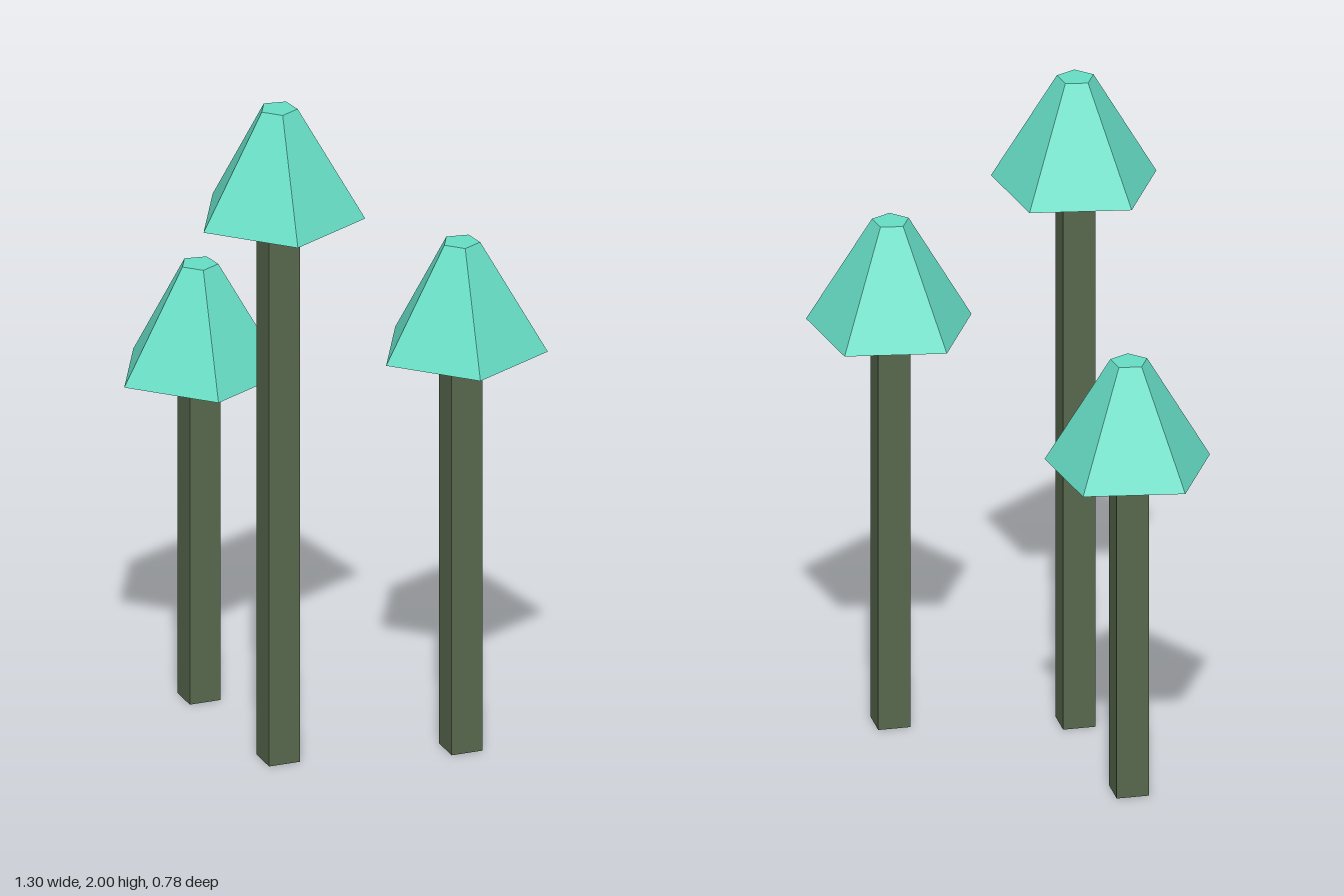
import * as THREE from 'three';

export function createModel() {
  const group = new THREE.Group();
  const capMaterial = new THREE.MeshStandardMaterial({ name: 'mint', color: 0x66dec6 });
  const stemMaterial = new THREE.MeshStandardMaterial({ name: 'mossGreen', color: 0x58684e });
  capMaterial.flatShading = true;
  stemMaterial.flatShading = true;

  const capHeight = 0.33;
  // Five-sided cap, one corner pointing to the back
  const capGeometry = new THREE.CylinderGeometry(0.055, 0.248, capHeight, 5);
  capGeometry.rotateY(Math.PI);

  // [name, x, z, total height]
  const mushrooms = [
    ['shortMushroom', -0.418, -0.145, 1.333],
    ['tallMushroom', -0.03, 0.19, 2],
    ['mediumMushroom', 0.415, -0.09, 1.556],
  ];

  for (const [name, x, z, height] of mushrooms) {
    const mushroom = new THREE.Group();
    mushroom.name = name;
    mushroom.position.set(x, 0, z);

    // Square stem, corners facing the axes
    const stemHeight = height - capHeight;
    const stem = new THREE.Mesh(new THREE.CylinderGeometry(0.067, 0.067, stemHeight, 4), stemMaterial);
    stem.name = 'stem';
    stem.position.y = stemHeight / 2;

    const cap = new THREE.Mesh(capGeometry, capMaterial);
    cap.name = 'cap';
    cap.position.y = height - capHeight / 2;

    mushroom.add(stem, cap);
    group.add(mushroom);
  }
  return group;
}
